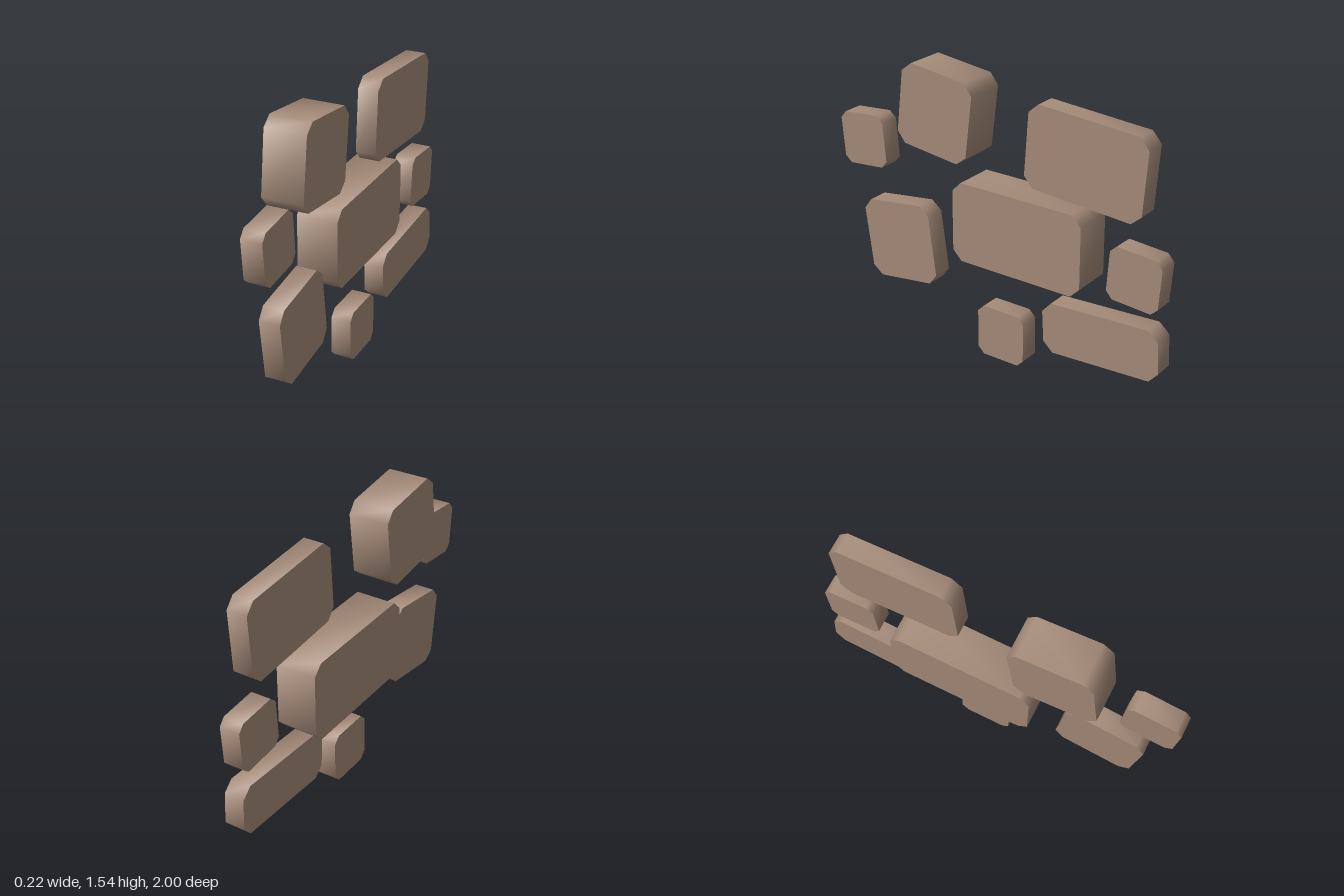
import * as THREE from 'three';
import { toCreasedNormals } from 'three/addons/utils/BufferGeometryUtils.js';

const HALF = 0.112;

// Slab with cut corners: its outline lies in the z/y plane, its thickness runs along +x
function slabGeometry(w, h, cut, depth) {
  const a = w / 2, b = h / 2;
  const shape = new THREE.Shape([
    [-a + cut, -b], [a - cut, -b], [a, -b + cut], [a, b - cut],
    [a - cut, b], [-a + cut, b], [-a, b - cut], [-a, -b + cut],
  ].map(([x, y]) => new THREE.Vector2(x, y)));
  const geo = new THREE.ExtrudeGeometry(shape, { depth, bevelEnabled: false });
  // Soft shading around the rim, sharp edges at the faces
  return toCreasedNormals(geo, THREE.MathUtils.degToRad(60));
}

export function createModel() {
  const model = new THREE.Group();
  model.name = 'stoneCluster';
  const stone = new THREE.MeshStandardMaterial({ color: 0xa58b79 });
  stone.name = 'brown stone';

  // name, z, y, width, height, corner cut, tilt in degrees, full thickness
  const slabs = [
    ['centreStone', -0.142, 0.734, 0.787, 0.445, 0.054, 0, true],
    ['upperFrontStone', 0.364, 1.296, 0.447, 0.447, 0.054, -7, true],
    ['upperBackStone', -0.545, 1.24, 0.671, 0.445, 0.054, -4, false],
    ['smallFrontStone', 0.849, 1.048, 0.29, 0.29, 0.037, 5, false],
    ['lowerFrontStone', 0.617, 0.509, 0.447, 0.447, 0.054, 7.7, false],
    ['smallBackStone', -0.841, 0.71, 0.29, 0.29, 0.037, -4, false],
    ['longBackStone', -0.658, 0.312, 0.673, 0.28, 0.054, 3.2, false],
    ['bottomStone', -0.054, 0.145, 0.29, 0.29, 0.037, 0, false],
  ];

  for (const [name, z, y, w, h, cut, tilt, full] of slabs) {
    const geo = slabGeometry(w, h, cut, full ? HALF * 2 : HALF);
    geo.rotateZ(THREE.MathUtils.degToRad(tilt));
    geo.rotateY(Math.PI / 2);
    const mesh = new THREE.Mesh(geo, stone);
    mesh.name = name;
    mesh.position.set(full ? -HALF : 0, y, z);
    model.add(mesh);
  }
  return model;
}
